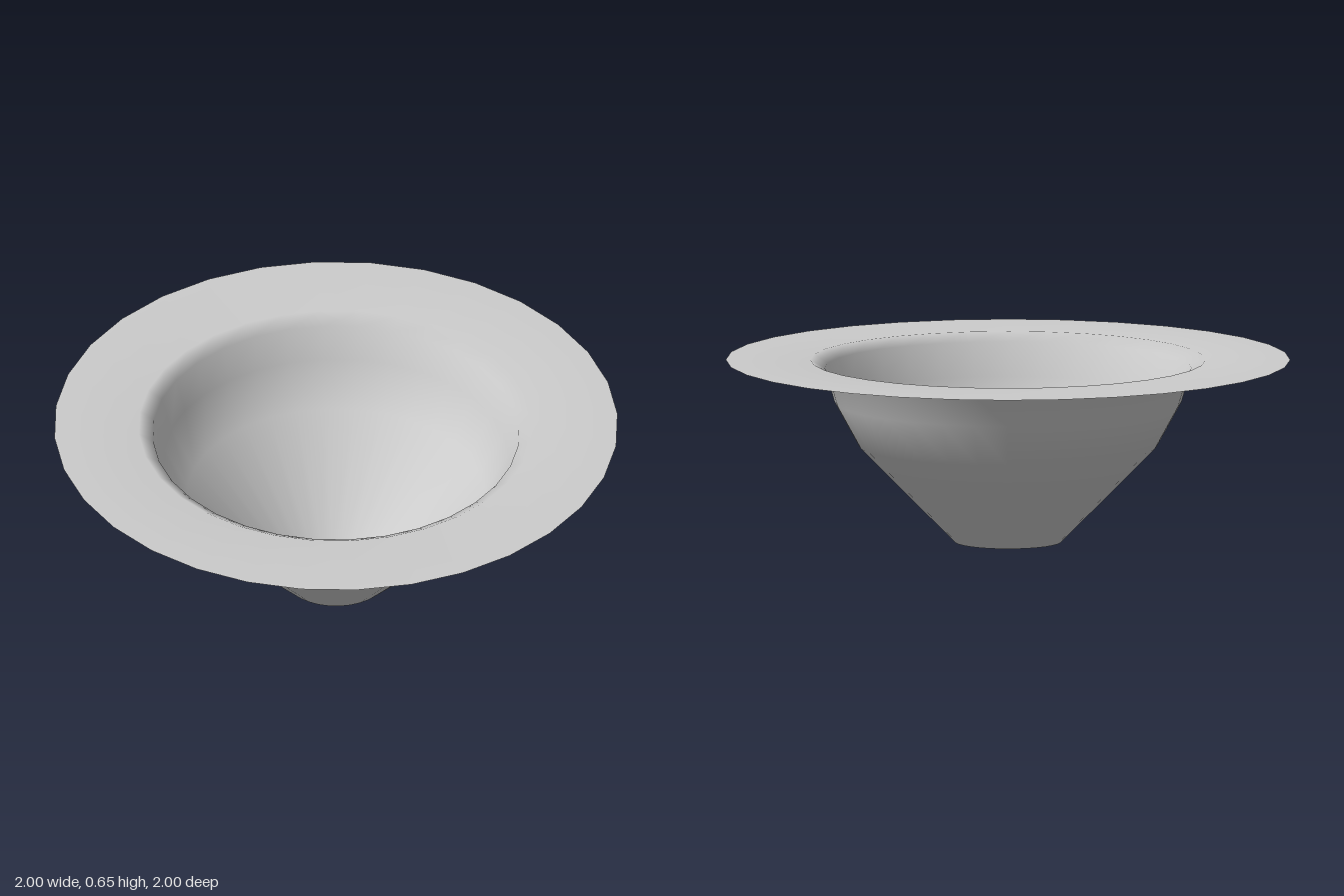
import * as THREE from 'three';

export function createModel() {
  const group = new THREE.Group();
  group.name = 'flaredFunnel';

  // Thin open shell: conical base, rounded shoulder, short lip, flat wide rim
  const profile = [
    [0.19, 0], [0.53, 0.345], [0.615, 0.5], [0.65, 0.62], [0.70, 0.65], [1, 0.65],
  ].map(([r, y]) => new THREE.Vector2(r, y));

  const shell = new THREE.Mesh(
    new THREE.LatheGeometry(profile, 32),
    new THREE.MeshStandardMaterial({ color: 0xcccccc, side: THREE.DoubleSide }),
  );
  shell.name = 'funnelShell';
  group.add(shell);
  return group;
}
